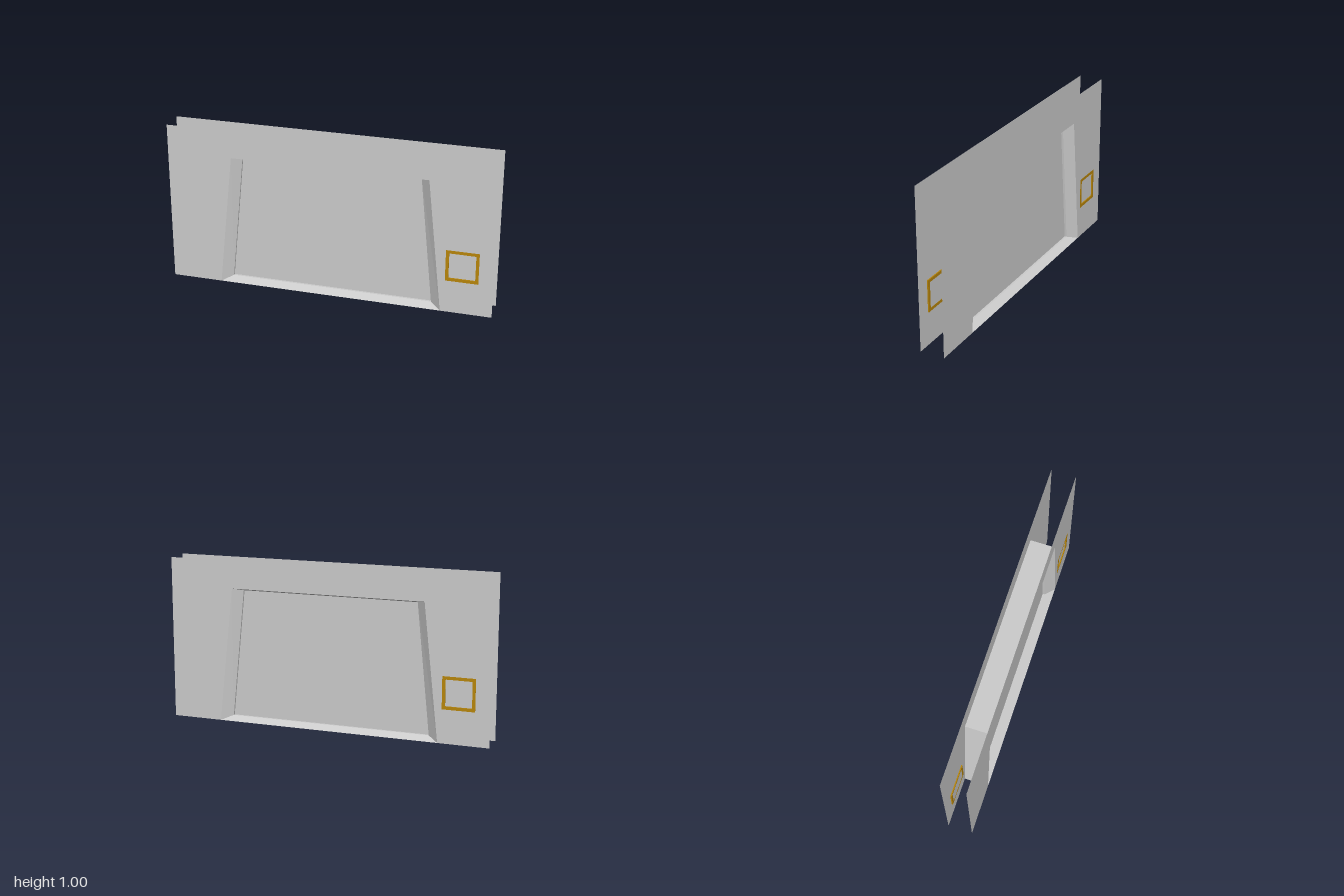
import * as THREE from 'three';

const DEPTH = 0.075;
const grey = new THREE.MeshStandardMaterial({ color: 0xcccccc, side: THREE.DoubleSide, flatShading: true });
const gold = new THREE.MeshStandardMaterial({ color: 0xb8860b });

// Trapezoid corners, counter-clockwise from bottom left
const trapezoid = (bottom, top, y0, y1) => [[-bottom, y0], [bottom, y0], [top, y1], [-top, y1]];
const OPENING = trapezoid(0.69, 0.6, 0, 0.83);
const PANEL = trapezoid(0.625, 0.545, 0.025, 0.815);

const toPoints = (corners) => corners.map(([x, y]) => new THREE.Vector2(x, y));

function addMesh(parent, name, geometry, material = grey) {
  const mesh = new THREE.Mesh(geometry, material);
  mesh.name = name;
  parent.add(mesh);
  return mesh;
}

// Four-sided band joining two trapezoids at different depths
function band(a, za, b, zb) {
  const positions = [];
  for (let i = 0; i < 4; i++) {
    const j = (i + 1) % 4;
    const p = [...a[i], za], q = [...a[j], za], r = [...b[j], zb], s = [...b[i], zb];
    positions.push(...p, ...q, ...r, ...p, ...r, ...s);
  }
  const geometry = new THREE.BufferGeometry();
  geometry.setAttribute('position', new THREE.Float32BufferAttribute(positions, 3));
  geometry.computeVertexNormals();
  return geometry;
}

function square(cx, cy, half, Type = THREE.Shape) {
  return new Type(toPoints([
    [cx - half, cy - half], [cx + half, cy - half], [cx + half, cy + half], [cx - half, cy + half],
  ]));
}

function createSide(name) {
  const side = new THREE.Group();
  side.name = name;
  const cx = 0.812, cy = 0.305;

  // Thin wall running around the doorway, with a cut-out for the control
  const wallShape = new THREE.Shape(toPoints([
    [-1, 0], OPENING[0], OPENING[3], OPENING[2], OPENING[1], [1, 0], [1, 1], [-1, 1],
  ]));
  wallShape.holes.push(square(cx, cy, 0.094, THREE.Path));
  addMesh(side, 'wall', new THREE.ShapeGeometry(wallShape)).position.z = DEPTH;

  // Sloped reveal and the narrow step against the door
  addMesh(side, 'reveal', band(OPENING, DEPTH, PANEL, 0.025));
  addMesh(side, 'doorStop', band(PANEL, 0.025, PANEL, 0.012));
  addMesh(side, 'doorPanel', new THREE.ShapeGeometry(new THREE.Shape(toPoints(PANEL)))).position.z = 0.012;

  // Gold control frame with a recessed plate
  const rim = square(cx, cy, 0.099);
  rim.holes.push(square(cx, cy, 0.08, THREE.Path));
  const rimGeometry = new THREE.ExtrudeGeometry(rim, { depth: 0.008, bevelEnabled: false });
  addMesh(side, 'controlFrame', rimGeometry, gold).position.z = DEPTH - 0.007;
  addMesh(side, 'controlPlate', new THREE.PlaneGeometry(0.164, 0.164)).position.set(cx, cy, DEPTH - 0.006);
  return side;
}

export function createModel() {
  const model = new THREE.Group();
  model.name = 'doorway';
  // Same wall face on both sides, turned half a revolution
  const front = createSide('frontSide');
  const back = createSide('backSide');
  back.rotation.y = Math.PI;
  model.add(front, back);
  // Outer casing joining the two walls
  addMesh(model, 'casing', band(OPENING, DEPTH, OPENING, -DEPTH));
  return model;
}
